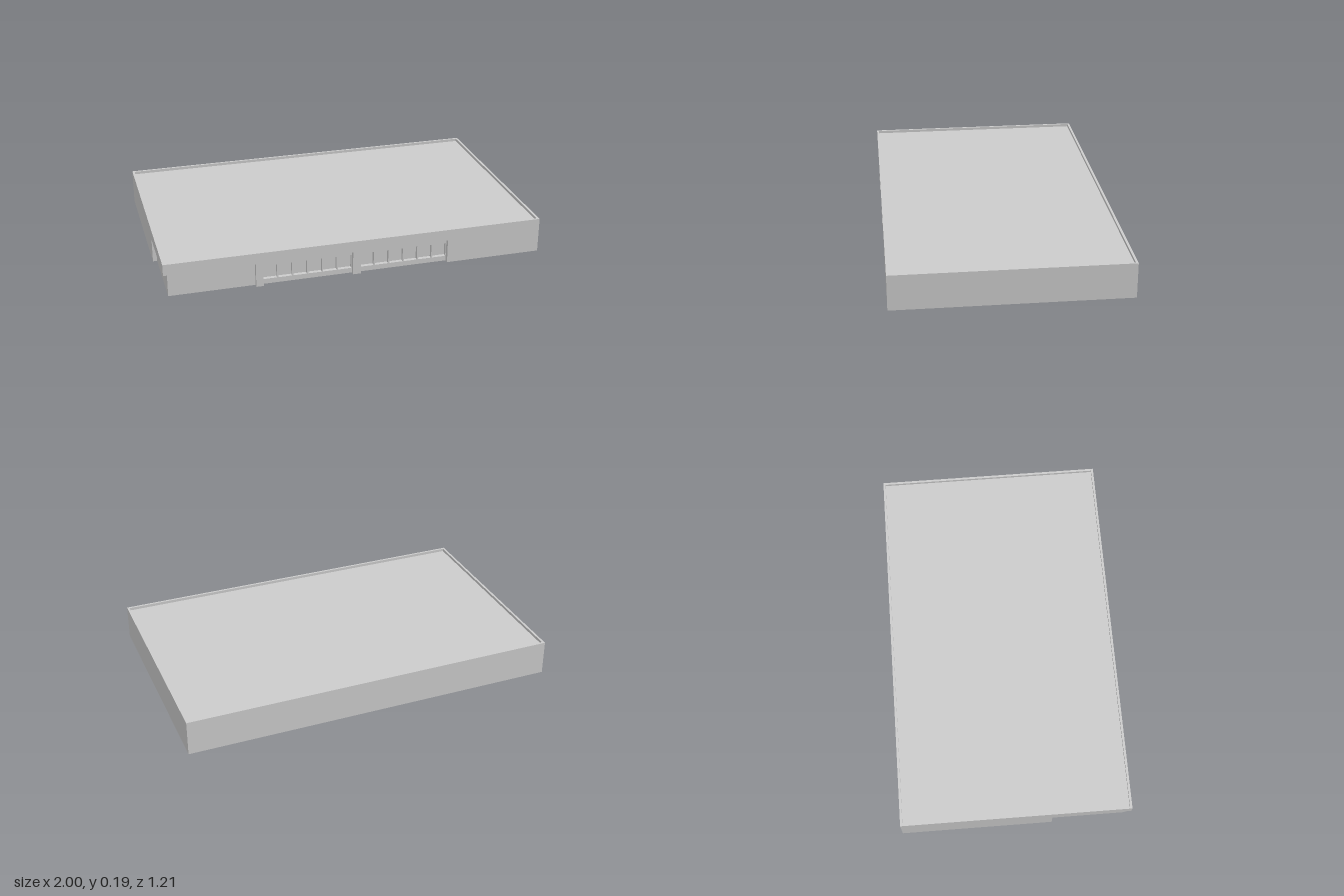
import * as THREE from 'three';

const X = 1, Z = 0.607, H = 0.187;      // half width, half depth, height
const ROOF = 0.172, RIM = 0.012;        // roof deck level, parapet thickness
const HEAD = 0.127, INSET = 0.022;      // recess head height and depth
const CORNER_X = -0.535, CORNER_Z = 0.19; // where the corner recess ends

const material = new THREE.MeshStandardMaterial({ color: 0xcccccc, side: THREE.DoubleSide });

const rect = (x0, y0, x1, y1) => [[x0, y0], [x1, y0], [x1, y1], [x0, y1]];
const vectors = (pts) => pts.map(([x, y]) => new THREE.Vector2(x, y));

// Thin sheet drawn in a plane: 'xy' at z = d, 'zy' at x = d, 'xz' at y = d
function sheet(parent, name, plane, d, outline, holes = []) {
  const shape = new THREE.Shape(vectors(outline));
  for (const h of holes) shape.holes.push(new THREE.Path(vectors(h)));
  const mesh = new THREE.Mesh(new THREE.ShapeGeometry(shape), material);
  mesh.name = name;
  if (plane === 'xy') mesh.position.z = d;
  if (plane === 'zy') { mesh.rotation.y = -Math.PI / 2; mesh.position.x = d; }
  if (plane === 'xz') { mesh.rotation.x = Math.PI / 2; mesh.position.y = d; }
  parent.add(mesh);
}

// Sides and head (and optionally sill) of an opening running back from z = zf
function reveals(parent, name, x0, y0, x1, y1, zf, depth, sill) {
  for (const x of [x0, x1]) sheet(parent, name + 'Side', 'zy', x, rect(zf - depth, y0, zf, y1));
  sheet(parent, name + 'Head', 'xz', y1, rect(x0, zf - depth, x1, zf));
  if (sill) sheet(parent, name + 'Sill', 'xz', y0, rect(x0, zf - depth, x1, zf));
}

// Recessed shopfront with a row of six sunken windows
function windowBay(x0, x1) {
  const bay = new THREE.Group();
  bay.name = 'windowBay';
  const back = Z - INSET, pitch = (x1 - x0) / 6, depth = 0.02;
  const windows = [];
  for (let i = 0; i < 6; i++) {
    const c = x0 + (i + 0.5) * pitch;
    windows.push([c - 0.036, 0.027, c + 0.036, 0.102]);
  }
  reveals(bay, 'bay', x0, 0, x1, HEAD, Z, INSET, false);
  sheet(bay, 'bayWall', 'xy', back, rect(x0, 0, x1, HEAD), windows.map((w) => rect(...w)));
  for (const w of windows) {
    reveals(bay, 'window', ...w, back, depth, true);
    sheet(bay, 'windowPane', 'xy', back - depth, rect(...w));
  }
  return bay;
}

export function createModel() {
  const model = new THREE.Group();
  model.name = 'building';
  const bays = [[-0.497, -0.027], [0.015, 0.487]];

  // Plain outer walls
  sheet(model, 'backWall', 'xy', -Z, rect(-X, 0, X, H));
  sheet(model, 'leftWall', 'zy', X, rect(-Z, 0, Z, H));

  // Front wall, notched for the corner recess and the window bays
  const front = [[-X, H], [-X, HEAD], [CORNER_X, HEAD], [CORNER_X, 0]];
  for (const [a, b] of bays) front.push([a, 0], [a, HEAD], [b, HEAD], [b, 0]);
  front.push([X, 0], [X, H]);
  sheet(model, 'frontWall', 'xy', Z, front);
  for (const [a, b] of bays) model.add(windowBay(a, b));

  // Right wall, notched at its front end
  sheet(model, 'rightWall', 'zy', -X,
    [[-Z, 0], [CORNER_Z, 0], [CORNER_Z, HEAD], [Z, HEAD], [Z, H], [-Z, H]]);

  // Recessed corner under the overhang
  const corner = new THREE.Group();
  corner.name = 'cornerRecess';
  const xi = -X + INSET, zi = Z - INSET;
  sheet(corner, 'recessFront', 'xy', zi, rect(xi, 0, CORNER_X, HEAD));
  sheet(corner, 'recessSide', 'zy', xi, rect(CORNER_Z, 0, zi, HEAD));
  sheet(corner, 'recessEnd', 'zy', CORNER_X, rect(zi, 0, Z, HEAD));
  sheet(corner, 'recessEnd', 'xy', CORNER_Z, rect(-X, 0, xi, HEAD));
  sheet(corner, 'soffit', 'xz', HEAD,
    [[-X, CORNER_Z], [xi, CORNER_Z], [xi, zi], [CORNER_X, zi], [CORNER_X, Z], [-X, Z]]);
  model.add(corner);

  // Parapet rim, its inner faces and the sunken roof deck
  const xr = X - RIM, zr = Z - RIM;
  sheet(model, 'parapetTop', 'xz', H, rect(-X, -Z, X, Z), [rect(-xr, -zr, xr, zr)]);
  for (const s of [-1, 1]) {
    sheet(model, 'parapetInner', 'xy', s * zr, rect(-xr, ROOF, xr, H));
    sheet(model, 'parapetInner', 'zy', s * xr, rect(-zr, ROOF, zr, H));
  }
  sheet(model, 'roof', 'xz', ROOF, rect(-xr, -zr, xr, zr));
  return model;
}
